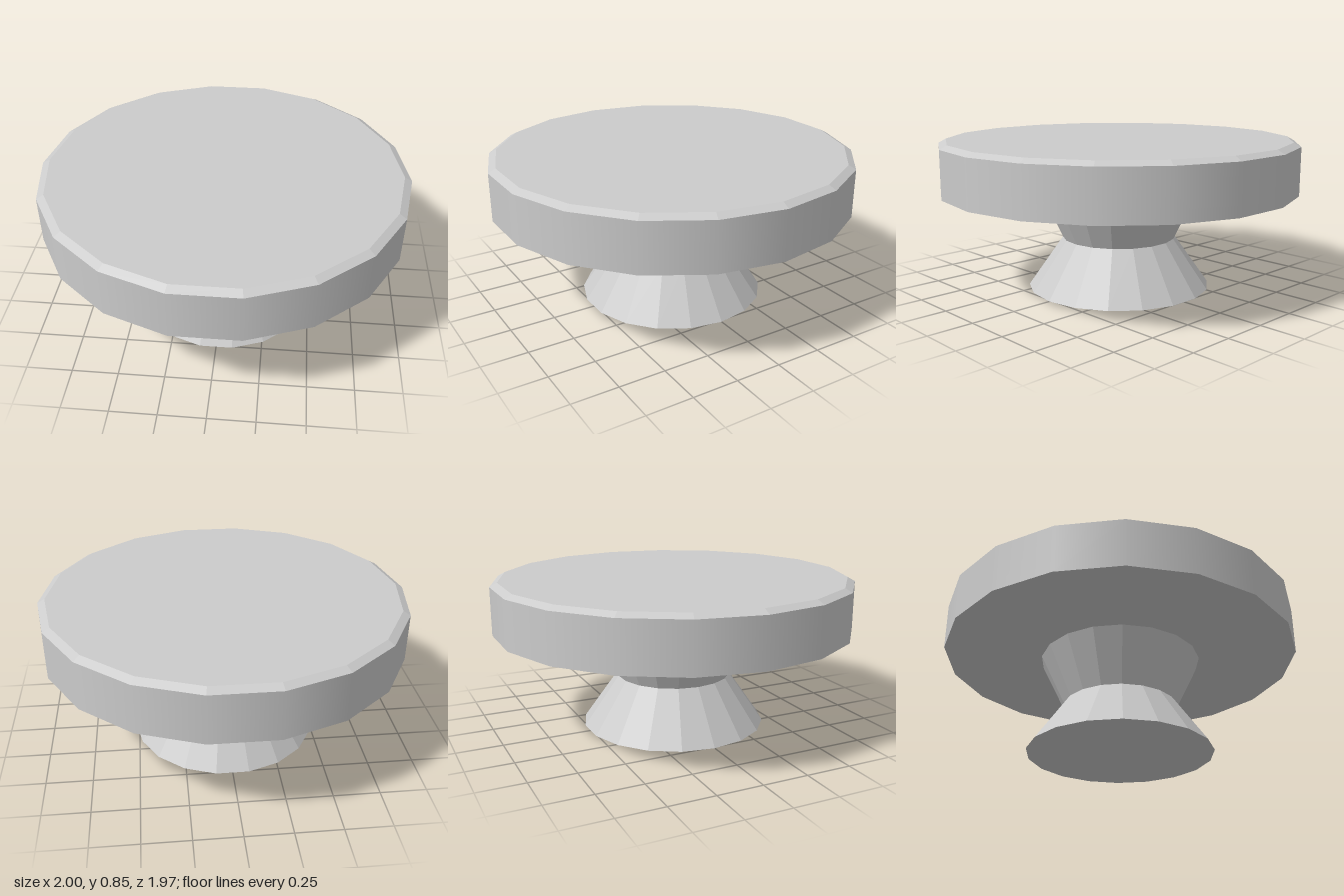
import * as THREE from 'three';

const SIDES = 18;

export function createModel() {
  const group = new THREE.Group();
  const smooth = new THREE.MeshStandardMaterial({ color: 0xcccccc });
  const flat = new THREE.MeshStandardMaterial({ color: 0xcccccc, flatShading: true });

  // One 18-sided section between two heights, with a corner on the x axis
  function section(name, rTop, rBottom, y0, y1, material, open = false) {
    const geometry = new THREE.CylinderGeometry(
      rTop, rBottom, y1 - y0, SIDES, 1, open, Math.PI / 2);
    geometry.translate(0, (y0 + y1) / 2, 0);
    const mesh = new THREE.Mesh(geometry, material);
    mesh.name = name;
    group.add(mesh);
  }

  // Cap on a section end, facing up or down
  function cap(name, radius, y, up) {
    const geometry = new THREE.CircleGeometry(radius, SIDES);
    geometry.rotateX(up ? -Math.PI / 2 : Math.PI / 2);
    geometry.translate(0, y, 0);
    const mesh = new THREE.Mesh(geometry, flat);
    mesh.name = name;
    group.add(mesh);
  }

  // Hourglass pedestal
  section('pedestalFoot', 0.32, 0.517, 0, 0.28, flat, true);
  section('pedestalNeck', 0.455, 0.32, 0.28, 0.56, flat, true);
  cap('pedestalBase', 0.517, 0, false);

  // Round top with a smooth rim and a narrow faceted bevel
  section('topRim', 1, 1, 0.56, 0.823, smooth, true);
  section('topBevel', 0.96, 1, 0.823, 0.845, flat, true);
  cap('topSurface', 0.96, 0.845, true);
  cap('topUnderside', 1, 0.56, false);

  return group;
}
